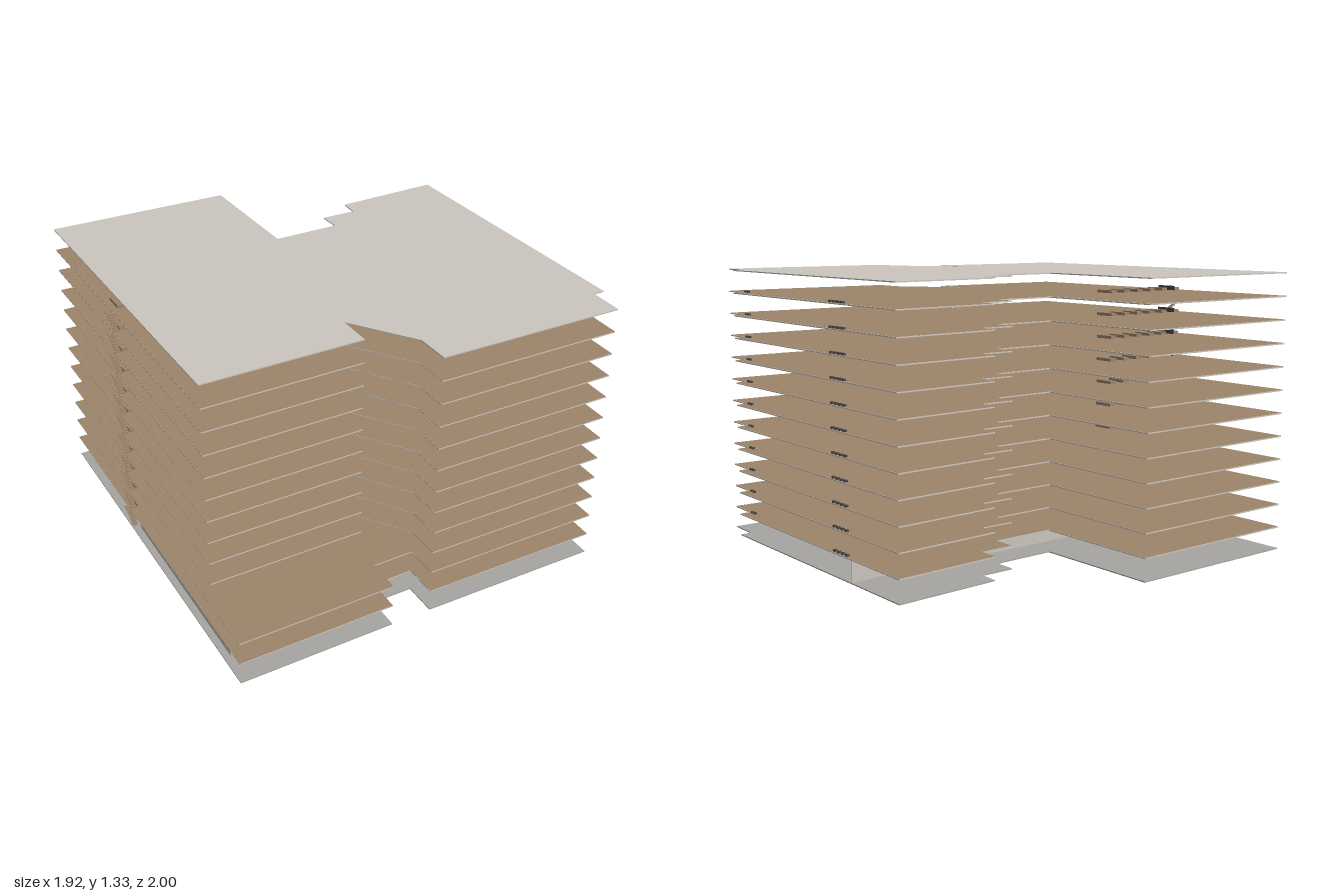
import * as THREE from 'three';

const mat = (name, color, side = THREE.FrontSide) => {
  const m = new THREE.MeshStandardMaterial({ color, side });
  m.name = name;
  return m;
};

export function createModel() {
  const concrete = mat('light concrete', 0xcbc6be);
  const ground = mat('ground grey', 0xa6a5a1);
  const tan = mat('tan floor', 0x9e856b);
  const tanStair = mat('tan stair', 0x9e856b, THREE.DoubleSide);
  const dark = mat('dark metal', 0x4c4a48);

  const model = new THREE.Group();
  model.name = 'building';
  const STEP = 0.1106, T = 0.005;

  const add = (parent, name, geo, m, x = 0, y = 0, z = 0) => {
    const mesh = new THREE.Mesh(geo, m);
    mesh.name = name;
    mesh.position.set(x, y, z);
    parent.add(mesh);
    return mesh;
  };
  const box = (parent, name, m, w, h, d, x, y, z) =>
    add(parent, name, new THREE.BoxGeometry(w, h, d), m, x, y, z);

  // Plan outlines as [x, z]: shared back and sides, then two front edges
  const rear = [
    [-0.96, -1], [-0.06, -1], [-0.055, -0.365], [0.265, -0.37], [0.265, -0.48],
    [0.435, -0.48], [0.44, -0.575], [0.96, -0.6], [0.95, 0.835], [0.895, 0.835],
    [0.89, 1], [0, 0.985], [0, 0.82],
  ];
  const toShape = (pts) => new THREE.Shape(pts.map(([x, z]) => new THREE.Vector2(x, -z)));
  const upper = toShape([...rear, [-0.2, 0.53], [-0.2, 0.7], [-0.95, 0.7]]);
  const lower = toShape([...rear, [-0.2, 0.82], [-0.2, 0.985], [-0.955, 0.985]]);

  const slab = (name, shape, top, m, finish) => {
    const geo = new THREE.ExtrudeGeometry(shape, { depth: T, bevelEnabled: false });
    geo.rotateX(-Math.PI / 2);
    add(model, name, geo, m, 0, top - T, 0);
    if (finish) {
      const face = new THREE.ShapeGeometry(shape);
      face.rotateX(-Math.PI / 2);
      add(model, name + 'Finish', face, finish, 0, top + 0.001, 0);
    }
  };

  // Ground slab, eleven floors with tan finish, plain roof
  slab('groundSlab', lower, T, ground);
  for (let k = 1; k <= 11; k++) slab('floor' + k, k <= 2 ? lower : upper, k * STEP, concrete, tan);
  slab('roof', upper, 12 * STEP, concrete);

  // Ground storey walls: a long cross wall with a doorway, and a side wall
  const H = STEP - T, W = 0.004;
  const cross = new THREE.Shape();
  [[-0.92, 0], [-0.35, 0], [-0.35, 0.055], [-0.325, 0.055], [-0.325, 0], [0.955, 0], [0.955, H], [-0.92, H]]
    .forEach(([x, y], i) => (i ? cross.lineTo(x, y) : cross.moveTo(x, y)));
  add(model, 'crossWall', new THREE.ExtrudeGeometry(cross, { depth: W, bevelEnabled: false }),
    concrete, 0, 0.001, -0.222);
  box(model, 'sideWall', concrete, W, H, 1.04, -0.922, H / 2 + 0.001, 0.3);
  box(model, 'sideWallEnd', concrete, W, H, 0.035, -0.897, H / 2 + 0.001, -0.238);

  // Small posts on the ground slab
  for (const [x, z] of [[-0.58, 0.2], [-0.52, 0.14], [-0.47, 0.09], [0.43, 0.6]])
    box(model, 'groundPost', dark, 0.012, 0.012, 0.012, x, T + 0.006, z);

  // One stepped flight as a folded ribbon of treads and risers
  const flight = (parent, x, y0, z0, y1, z1) => {
    const n = 7, w = 0.026, dy = (y1 - y0) / n, dz = (z1 - z0) / n;
    for (let i = 0; i < n; i++) {
      const y = y0 + dy * (i + 1), z = z0 + dz * i;
      box(parent, 'tread', tanStair, w, 0.002, Math.abs(dz), x, y - 0.001, z + dz / 2);
      box(parent, 'riser', tanStair, w, Math.abs(dy), 0.002, x, y - dy / 2, z);
    }
  };

  for (let k = 0; k < 11; k++) {
    const y = k * STEP, mid = y + STEP / 2;
    const stair = new THREE.Group();
    stair.name = 'stair' + k;
    model.add(stair);
    // Two flights folding back at a half landing
    flight(stair, -0.94, y, -0.255, mid, -0.335);
    flight(stair, -0.907, mid, -0.335, y + STEP, -0.255);
    box(stair, 'halfLanding', tanStair, 0.06, 0.003, 0.028, -0.923, mid, -0.349);

    // Fittings on the floor above
    const f = y + STEP;
    box(stair, 'stairRail', dark, 0.003, 0.022, 0.11, -0.882, f + 0.012, -0.308);
    for (let i = 0; i < 6; i++)
      box(model, 'lowBox', tan, 0.035, 0.014, 0.1, -0.905 + i * 0.087, f + 0.008, -0.306);
    for (let i = 0; i < 4; i++)
      box(model, 'edgePost', dark, 0.014, 0.01, 0.014, 0.945, f + 0.006, -0.07 - i * 0.034);
    for (let i = 0; i < 2; i++)
      box(model, 'cornerPost', dark, 0.012, 0.01, 0.012, 0.9, f + 0.006, 0.775 + i * 0.027);
  }
  return model;
}
